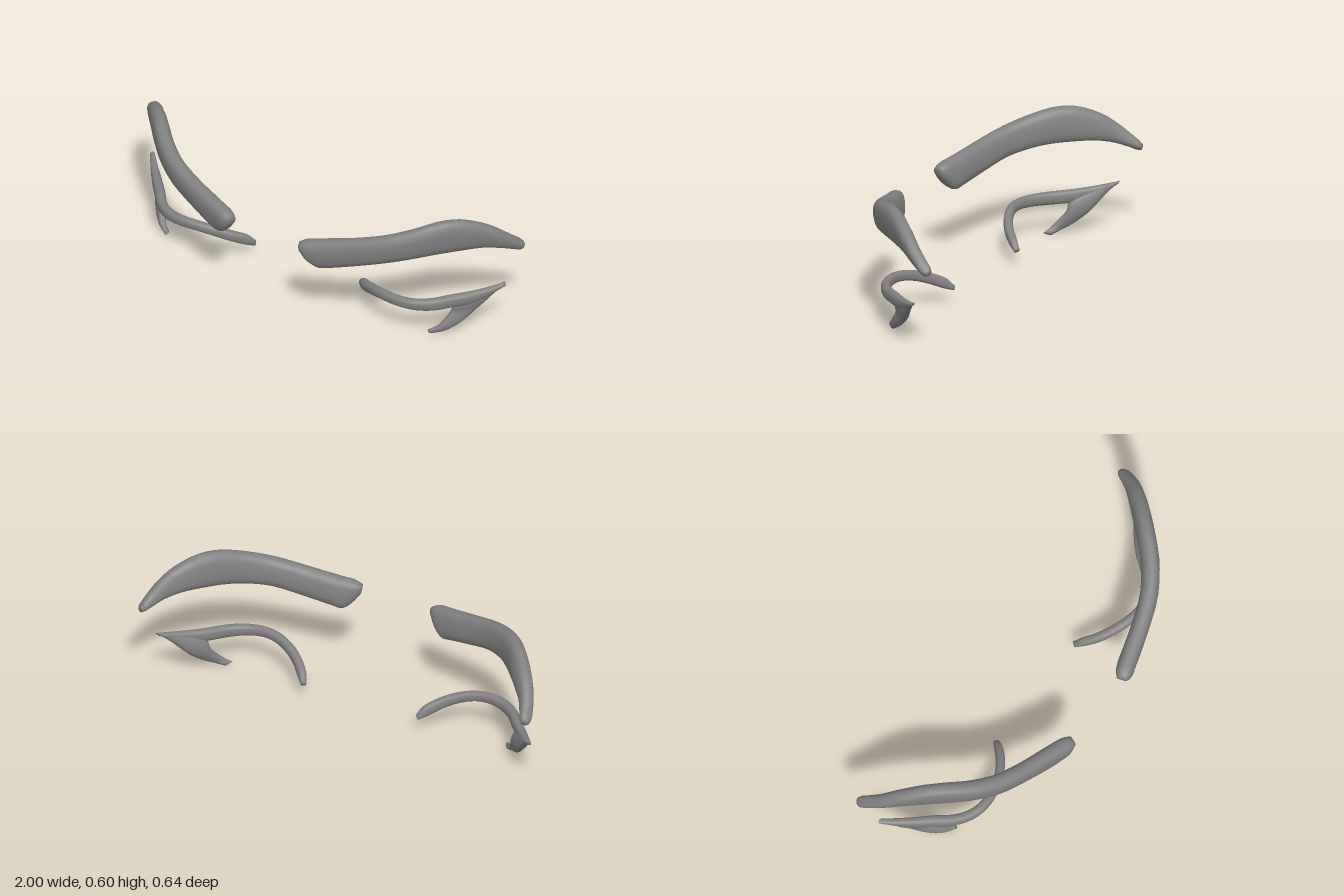
import * as THREE from 'three';

const SIDES = 16;

// Lofts an oval strand. Each station: [upper edge xyz, lower edge xyz, half thickness]
function loft(stations, steps) {
  const rail = (k) => new THREE.CatmullRomCurve3(
    stations.map((s) => new THREE.Vector3(s[k], s[k + 1], s[k + 2])));
  const upper = rail(0), lower = rail(3);
  const thickness = new THREE.CatmullRomCurve3(
    stations.map((s, i) => new THREE.Vector3(i, s[6], 0)));
  const middle = (t) => upper.getPoint(t).add(lower.getPoint(t)).multiplyScalar(0.5);
  const soft = (v) => Math.sign(v) * Math.abs(v) ** 0.8;
  const pos = [], idx = [];

  for (let i = 0; i <= steps; i++) {
    const t = i / steps;
    const c = middle(t);
    const w = upper.getPoint(t).sub(lower.getPoint(t)).multiplyScalar(0.5);
    const tangent = middle(Math.min(1, t + 0.01)).sub(middle(Math.max(0, t - 0.01)));
    const n = tangent.cross(w).normalize().multiplyScalar(thickness.getPoint(t).y);
    for (let j = 0; j < SIDES; j++) {
      const a = (j / SIDES) * Math.PI * 2;
      const p = c.clone().addScaledVector(w, soft(Math.cos(a))).addScaledVector(n, soft(Math.sin(a)));
      pos.push(p.x, p.y, p.z);
    }
  }
  for (let i = 0; i < steps; i++) {
    for (let j = 0; j < SIDES; j++) {
      const a = i * SIDES + j, b = i * SIDES + (j + 1) % SIDES;
      idx.push(a, b, a + SIDES, b, b + SIDES, a + SIDES);
    }
  }
  // End caps
  const first = middle(0), last = middle(1);
  const c0 = pos.length / 3, c1 = c0 + 1, end = steps * SIDES;
  pos.push(first.x, first.y, first.z, last.x, last.y, last.z);
  for (let j = 0; j < SIDES; j++) {
    const k = (j + 1) % SIDES;
    idx.push(c0, k, j, c1, end + j, end + k);
  }
  const g = new THREE.BufferGeometry();
  g.setAttribute('position', new THREE.Float32BufferAttribute(pos, 3));
  g.setIndex(idx);
  g.computeVertexNormals();
  return g;
}

// Reflects a geometry across x = 0, keeping faces outward
function mirror(geometry) {
  const g = geometry.clone().scale(-1, 1, 1);
  const idx = Array.from(g.index.array);
  for (let i = 0; i < idx.length; i += 3) [idx[i], idx[i + 1]] = [idx[i + 1], idx[i]];
  g.setIndex(idx);
  g.computeVertexNormals();
  return g;
}

const BROW = [
  [0.182, 0.435, 0.288, 0.187, 0.395, 0.286, 0.024],
  [0.215, 0.453, 0.28, 0.22, 0.348, 0.27, 0.039],
  [0.27, 0.465, 0.264, 0.262, 0.316, 0.246, 0.042],
  [0.33, 0.478, 0.244, 0.3, 0.323, 0.238, 0.042],
  [0.44, 0.503, 0.212, 0.42, 0.356, 0.2, 0.041],
  [0.57, 0.538, 0.16, 0.56, 0.396, 0.148, 0.041],
  [0.68, 0.573, 0.085, 0.66, 0.418, 0.078, 0.041],
  [0.76, 0.598, 0.005, 0.735, 0.429, 0.008, 0.04],
  [0.825, 0.594, -0.065, 0.805, 0.432, -0.07, 0.039],
  [0.9, 0.553, -0.148, 0.87, 0.43, -0.15, 0.036],
  [0.947, 0.502, -0.21, 0.92, 0.415, -0.212, 0.032],
  [0.978, 0.447, -0.268, 0.952, 0.395, -0.268, 0.029],
  [0.991, 0.416, -0.302, 0.968, 0.383, -0.302, 0.026],
  [0.99, 0.402, -0.319, 0.974, 0.384, -0.319, 0.015],
];

const LASH = [
  [0.285, 0.078, -0.06, 0.295, 0.06, -0.06, 0.014],
  [0.308, 0.116, -0.032, 0.325, 0.072, -0.025, 0.019],
  [0.36, 0.148, 0.018, 0.37, 0.098, 0.02, 0.021],
  [0.43, 0.175, 0.062, 0.435, 0.126, 0.062, 0.021],
  [0.51, 0.191, 0.092, 0.51, 0.144, 0.091, 0.021],
  [0.58, 0.195, 0.1, 0.58, 0.146, 0.1, 0.021],
  [0.66, 0.194, 0.083, 0.66, 0.141, 0.082, 0.022],
  [0.73, 0.195, 0.035, 0.73, 0.137, 0.035, 0.023],
  [0.79, 0.199, -0.035, 0.79, 0.139, -0.035, 0.023],
  [0.85, 0.204, -0.1, 0.845, 0.145, -0.095, 0.021],
  [0.91, 0.214, -0.167, 0.9, 0.173, -0.16, 0.017],
  [0.956, 0.225, -0.22, 0.943, 0.21, -0.213, 0.011],
];

const LASH_BRANCH = [
  [0.943, 0.212, -0.21, 0.82, 0.185, -0.07, 0.012],
  [0.907, 0.168, -0.173, 0.79, 0.143, -0.047, 0.022],
  [0.868, 0.117, -0.136, 0.777, 0.105, -0.045, 0.023],
  [0.832, 0.067, -0.087, 0.757, 0.062, -0.016, 0.021],
  [0.785, 0.026, -0.037, 0.735, 0.032, 0.012, 0.016],
  [0.722, 0.002, 0, 0.705, 0.012, 0.032, 0.01],
];

export function createModel() {
  const model = new THREE.Group();
  model.name = 'browsAndLashes';
  const grey = new THREE.MeshStandardMaterial({ color: 0x808080 });
  grey.name = 'grey';

  const parts = { Eyebrow: loft(BROW, 36), Eyelash: loft(LASH, 36), LashBranch: loft(LASH_BRANCH, 16) };
  for (const [name, geometry] of Object.entries(parts)) {
    const left = new THREE.Mesh(geometry, grey);
    left.name = 'left' + name;
    const right = new THREE.Mesh(mirror(geometry), grey);
    right.name = 'right' + name;
    model.add(left, right);
  }
  return model;
}
